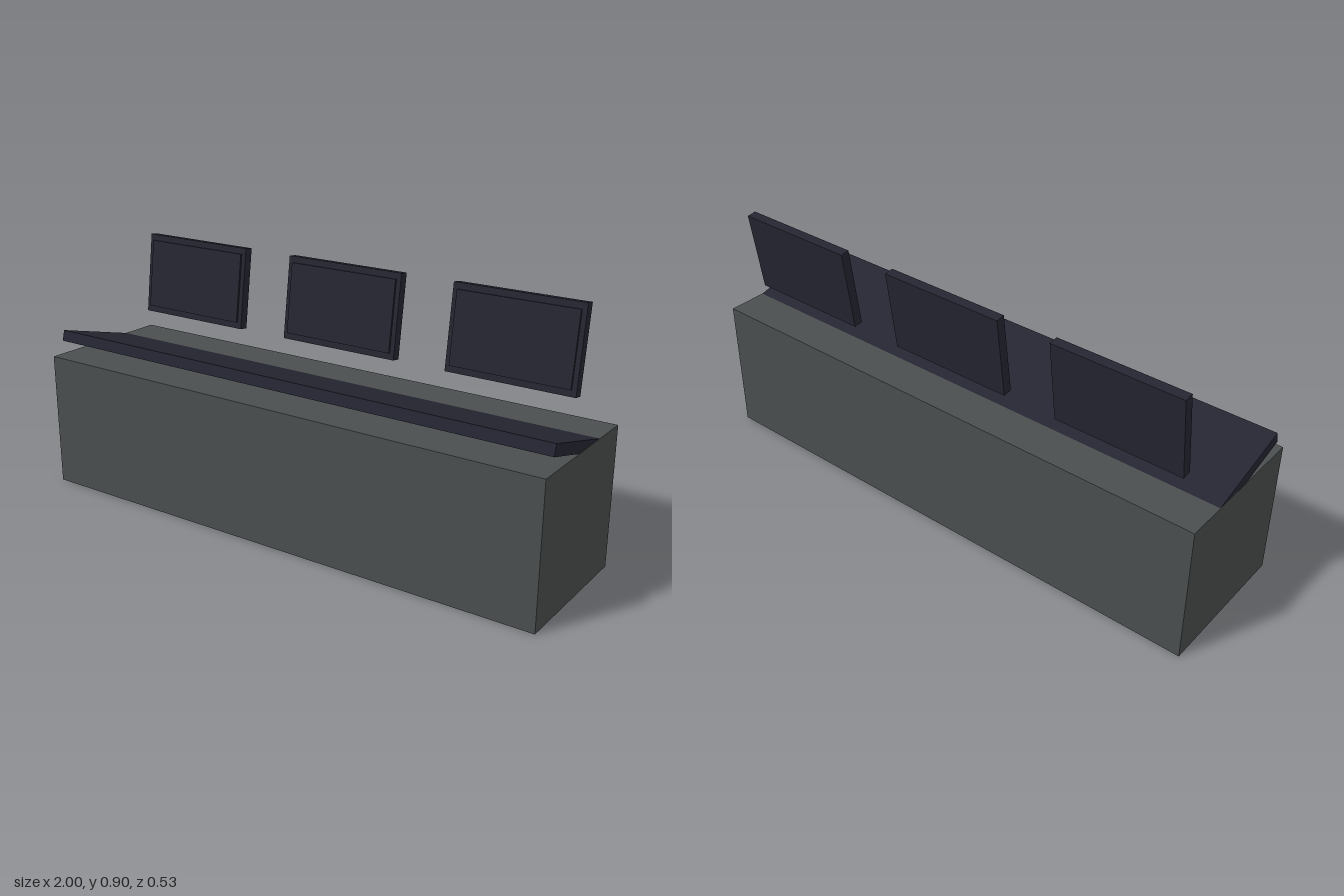
import * as THREE from 'three';

const grey = new THREE.MeshStandardMaterial({ color: 0x4a4e4e });
grey.name = 'console grey';
const navy = new THREE.MeshStandardMaterial({ color: 0x252532 });
navy.name = 'dark navy';

function box(name, w, h, d, material, x = 0, y = 0, z = 0) {
  const mesh = new THREE.Mesh(new THREE.BoxGeometry(w, h, d), material);
  mesh.name = name;
  mesh.position.set(x, y, z);
  return mesh;
}

// Upright display: a casing with a slightly raised screen, leaning back
function monitor(name, x) {
  const group = new THREE.Group();
  group.name = name;
  group.add(box('casing', 0.467, 0.3, 0.034, navy));
  group.add(box('screen', 0.433, 0.255, 0.008, navy, 0, 0, 0.02));
  group.position.set(x, 0.75, -0.185);
  group.rotation.x = -0.134;
  return group;
}

export function createModel() {
  const model = new THREE.Group();
  model.name = 'controlConsole';

  // Solid desk block
  model.add(box('base', 2, 0.5, 0.533, grey, 0, 0.25, 0));

  // Control panel, front edge raised and rear edge sunk into the desk;
  // a hair narrower than the base so the ends do not coincide
  const panel = box('controlPanel', 1.998, 0.04, 0.4, navy, 0, 0.517, 0.019);
  panel.rotation.x = -0.265;
  model.add(panel);

  // Row of three displays
  ['rightMonitor', 'middleMonitor', 'leftMonitor'].forEach((name, i) => {
    model.add(monitor(name, (i - 1) * 0.667));
  });

  return model;
}
